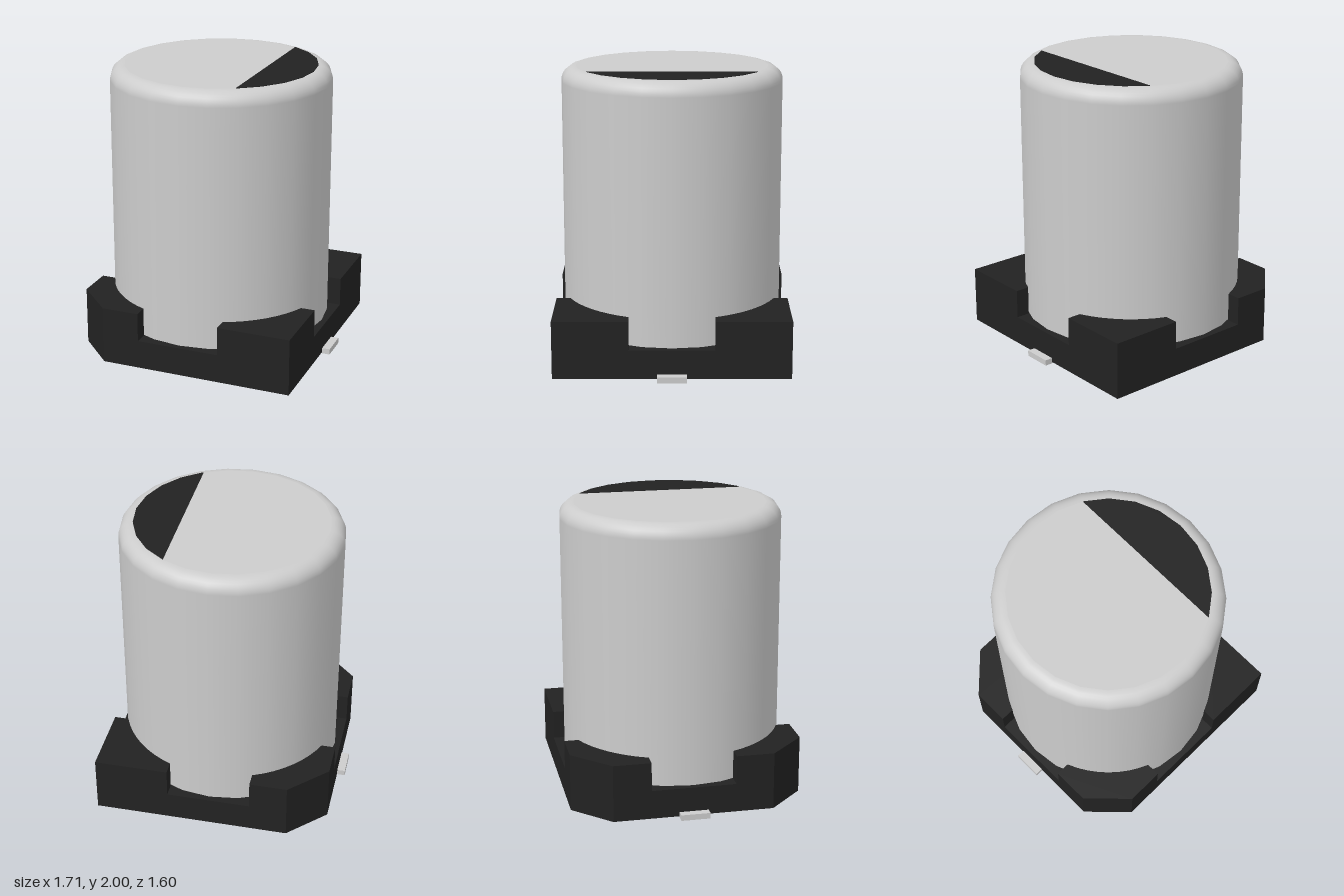
import * as THREE from 'three';

const R = 0.76, FILLET = 0.1, TOP = 1.996, SIDES = 24;
const HALF = 0.8, CUT = 0.55, NOTCH = 0.29;

export function createModel() {
  const model = new THREE.Group();
  model.name = 'capacitor';

  const makeMaterial = (name, color) => {
    const m = new THREE.MeshStandardMaterial({ color });
    m.name = name;
    return m;
  };
  const aluminium = makeMaterial('aluminium', 0xcccccc);
  const black = makeMaterial('black plastic', 0x222222);

  const add = (name, geometry, material) => {
    const mesh = new THREE.Mesh(geometry, material);
    mesh.name = name;
    model.add(mesh);
    return mesh;
  };
  // Plan outline (x, z) raised from y0 to y1
  const slab = (points, y0, y1) =>
    new THREE.ExtrudeGeometry(new THREE.Shape(points), { depth: y1 - y0, bevelEnabled: false })
      .rotateX(-Math.PI / 2).translate(0, y0, 0);
  const v = (x, y) => new THREE.Vector2(x, y);

  // Can: straight wall and rounded shoulder
  const profile = [v(R, 0.2)];
  for (let i = 0; i <= 8; i++) {
    const a = (i / 8) * Math.PI / 2;
    profile.push(v(R - FILLET + FILLET * Math.cos(a), TOP - FILLET + FILLET * Math.sin(a)));
  }
  add('can', new THREE.LatheGeometry(profile, SIDES), aluminium);
  add('canTop', new THREE.CircleGeometry(R - FILLET, SIDES).rotateX(-Math.PI / 2).translate(0, TOP, 0), aluminium);

  // Polarity mark: a segment of the top disc
  const mark = [];
  for (let i = -4; i <= 4; i++) {
    const a = i * Math.PI / 12;
    mark.push(v((R - FILLET) * Math.cos(a), (R - FILLET) * Math.sin(a)));
  }
  add('polarityMark', slab(mark, TOP - 0.003, 2), black);

  // Base plate with two chamfered corners on the right
  add('basePlate', slab([
    v(HALF, -HALF), v(HALF, HALF), v(-CUT, HALF), v(-HALF, CUT), v(-HALF, -CUT), v(-CUT, -HALF),
  ], 0.01, 0.21), black);

  // Corner posts hugging the can
  const start = Math.asin(NOTCH / R), end = Math.PI / 2 - start;
  for (const sx of [1, -1]) for (const sz of [1, -1]) {
    const outline = [v(NOTCH, HALF)];
    if (sx > 0) outline.push(v(HALF, HALF));
    else outline.push(v(CUT, HALF), v(HALF, CUT));
    outline.push(v(HALF, NOTCH));
    for (let i = 0; i <= 8; i++) {
      const a = start + (end - start) * i / 8;
      outline.push(v(R * Math.cos(a), R * Math.sin(a)));
    }
    outline.forEach((p) => p.set(p.x * sx, p.y * sz));
    add('cornerPost', slab(outline, 0.2, 0.41), black);
  }

  // Flat solder leads
  for (const s of [1, -1]) {
    add(s > 0 ? 'leftLead' : 'rightLead', new THREE.BoxGeometry(0.51, 0.04, 0.2), aluminium)
      .position.set(s * 0.6, 0.02, 0);
  }
  return model;
}
